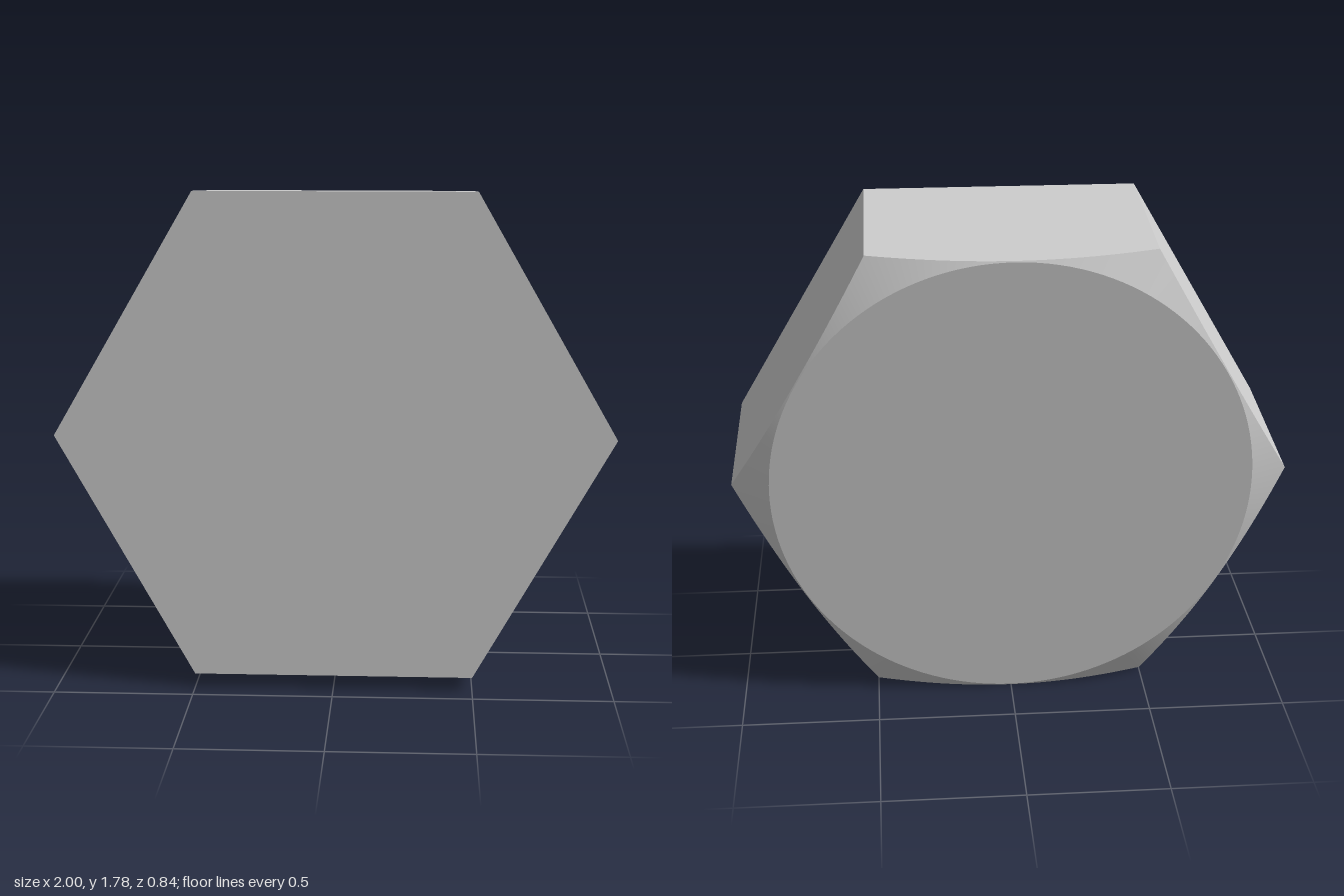
import * as THREE from 'three';
import { toCreasedNormals } from 'three/addons/utils/BufferGeometryUtils.js';

const APOTHEM = Math.sqrt(3) / 2; // hexagon with corner radius 1
const DEPTH = 0.72;
const FACE_R = 0.862; // round back face
const CHAMFER = Math.tan(Math.PI / 6);
const STEPS = 24; // samples per hexagon side
const TILT = THREE.MathUtils.degToRad(4);

// Distance from the axis to the hexagon outline at angle a
function hexRadius(a) {
  const side = Math.PI / 3;
  return APOTHEM / Math.cos((a % side) - side / 2);
}

// Rings from the front centre to the back centre: [radius, z] at angle a
const rings = [
  () => [0, 0],
  (a) => [hexRadius(a), 0],
  (a) => [hexRadius(a), -DEPTH + (hexRadius(a) - FACE_R) * CHAMFER],
  () => [FACE_R, -DEPTH],
  () => [0, -DEPTH],
];

function hexHeadGeometry() {
  const n = 6 * STEPS;
  const positions = [];
  const index = [];
  for (const ring of rings) {
    for (let j = 0; j < n; j++) {
      const a = (j / n) * Math.PI * 2;
      const [r, z] = ring(a);
      positions.push(r * Math.cos(a), r * Math.sin(a), z);
    }
  }
  for (let i = 0; i < rings.length - 1; i++) {
    for (let j = 0; j < n; j++) {
      const k = (j + 1) % n;
      const a = i * n + j, b = i * n + k, c = a + n, d = b + n;
      if (i > 0) index.push(a, c, b);
      if (i < rings.length - 2) index.push(b, c, d);
    }
  }
  const geometry = new THREE.BufferGeometry();
  geometry.setAttribute('position', new THREE.Float32BufferAttribute(positions, 3));
  geometry.setIndex(index);
  return toCreasedNormals(geometry, THREE.MathUtils.degToRad(15));
}

export function createModel() {
  const group = new THREE.Group();
  group.name = 'hexHead';

  // Hexagonal block, chamfered at the back and leaning back slightly
  const head = new THREE.Mesh(
    hexHeadGeometry(),
    new THREE.MeshStandardMaterial({ color: 0xcccccc })
  );
  head.name = 'chamferedHexBlock';
  head.rotation.x = -TILT;
  head.position.set(0, APOTHEM * Math.cos(TILT) + DEPTH * Math.sin(TILT), 0.36);
  group.add(head);
  return group;
}
